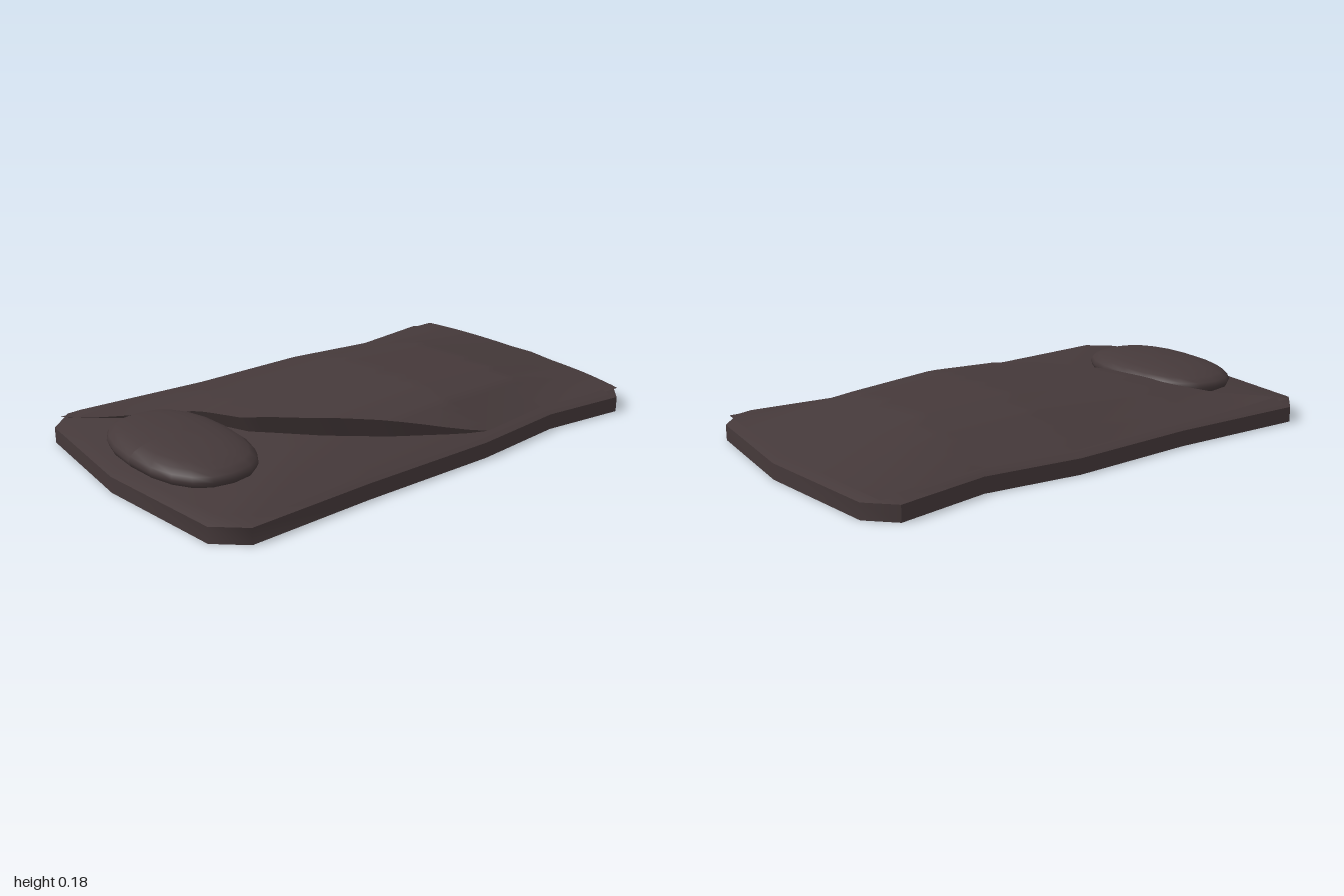
import * as THREE from 'three';
import { toCreasedNormals } from 'three/addons/utils/BufferGeometryUtils.js';
import { ParametricGeometry } from 'three/addons/geometries/ParametricGeometry.js';

// piecewise linear lookup in a list of [key, value]
function lookup(table, k) {
  if (k <= table[0][0]) return table[0][1];
  for (let i = 1; i < table.length; i++) {
    const [k0, v0] = table[i - 1], [k1, v1] = table[i];
    if (k <= k1) return v0 + ((v1 - v0) * (k - k0)) / (k1 - k0);
  }
  return table[table.length - 1][1];
}

// mat outline (x, z), clockwise from above
const OUTLINE = [
  [-0.95, -0.5], [-0.85, -0.595], [-0.32, -0.562], [0.16, -0.572], [0.52, -0.523], [0.86, -0.572],
  [0.95, -0.48], [1, 0], [0.95, 0.48], [0.86, 0.575], [0.53, 0.537], [0.16, 0.575],
  [-0.38, 0.575], [-0.85, 0.592], [-0.95, 0.5], [-1, 0],
];

// mat: stacked outline rings [y, x scale, z scale], closed by fans
function matGeometry() {
  const rings = [[0, 1, 1], [0.058, 1, 1], [0.074, 0.955, 0.945]];
  const n = OUTLINE.length, pos = [], idx = [];
  for (const [y, sx, sz] of rings) for (const [x, z] of OUTLINE) pos.push(x * sx, y, z * sz);
  const low = rings.length * n, top = low + 1;
  pos.push(0, 0, 0, 0, 0.074, 0);
  for (let i = 0; i < n; i++) {
    const j = (i + 1) % n;
    for (let r = 0; r < rings.length - 1; r++) {
      const a = r * n, b = a + n;
      idx.push(a + i, b + i, b + j, a + i, b + j, a + j);
    }
    idx.push(low, i, j, top, low - n + j, low - n + i);
  }
  const g = new THREE.BufferGeometry();
  g.setAttribute('position', new THREE.Float32BufferAttribute(pos, 3));
  g.setIndex(idx);
  return toCreasedNormals(g, 0.9);
}

// blanket: half width along x, folded edge across t, and height profiles
const HALF = [[-0.9, 0.55], [-0.3, 0.535], [0.16, 0.54], [0.52, 0.495], [0.86, 0.535]];
const EDGE = [[-1, -0.9], [-0.85, -0.83], [-0.65, -0.69], [-0.38, -0.56], [0, -0.48],
  [0.38, -0.3], [0.65, -0.13], [0.9, 0.1], [1, 0.22]];
const RISE = [[-0.95, 0.08], [-0.7, 0.1], [-0.56, 0.122], [-0.42, 0.143], [0.15, 0.177], [0.52, 0.159], [0.95, 0.076]];
const ACROSS = [[-1, 0], [-0.85, 0.25], [-0.55, 0.71], [-0.26, 1], [0.43, 1], [0.65, 0.83], [1, 0]];
const BASE = 0.072;

function blanketPoint(t, s, target) {
  const x = THREE.MathUtils.lerp(lookup(EDGE, t), 0.95 - 0.04 * t * t, s);
  const y = BASE + (lookup(RISE, x) - BASE) * lookup(ACROSS, t);
  return target.set(x, y, t * lookup(HALF, x));
}

export function createModel() {
  const group = new THREE.Group();
  const cloth = new THREE.MeshStandardMaterial({ color: 0x45393a, side: THREE.DoubleSide });
  cloth.name = 'dark brown cloth';
  const add = (name, geometry) => {
    const mesh = new THREE.Mesh(geometry, cloth);
    mesh.name = name;
    group.add(mesh);
    return mesh;
  };

  add('mat', matGeometry());

  // blanket surface, thrown back diagonally
  add('blanket', new ParametricGeometry((u, v, p) => blanketPoint(u * 2 - 1, v, p), 28, 28));

  // open edge of the blanket, tucked under slightly
  add('blanketEdge', new ParametricGeometry((u, v, p) => {
    blanketPoint(u * 2 - 1, 0, p);
    const drop = (1 - v) * (p.y - BASE);
    p.x += drop * 0.5;
    p.y -= drop;
  }, 28, 1));

  // pillow: a sphere squared off and flattened
  const pillow = new THREE.SphereGeometry(1, 20, 12);
  const pos = pillow.attributes.position;
  const soft = (v, e) => Math.sign(v) * Math.abs(v) ** e;
  for (let i = 0; i < pos.count; i++) {
    pos.setXYZ(i, soft(pos.getX(i), 0.85) * 0.2, soft(pos.getY(i), 0.9) * 0.06, soft(pos.getZ(i), 0.85) * 0.33);
  }
  pillow.computeVertexNormals();
  add('pillow', pillow).position.set(-0.735, 0.096, 0.01);

  return group;
}
